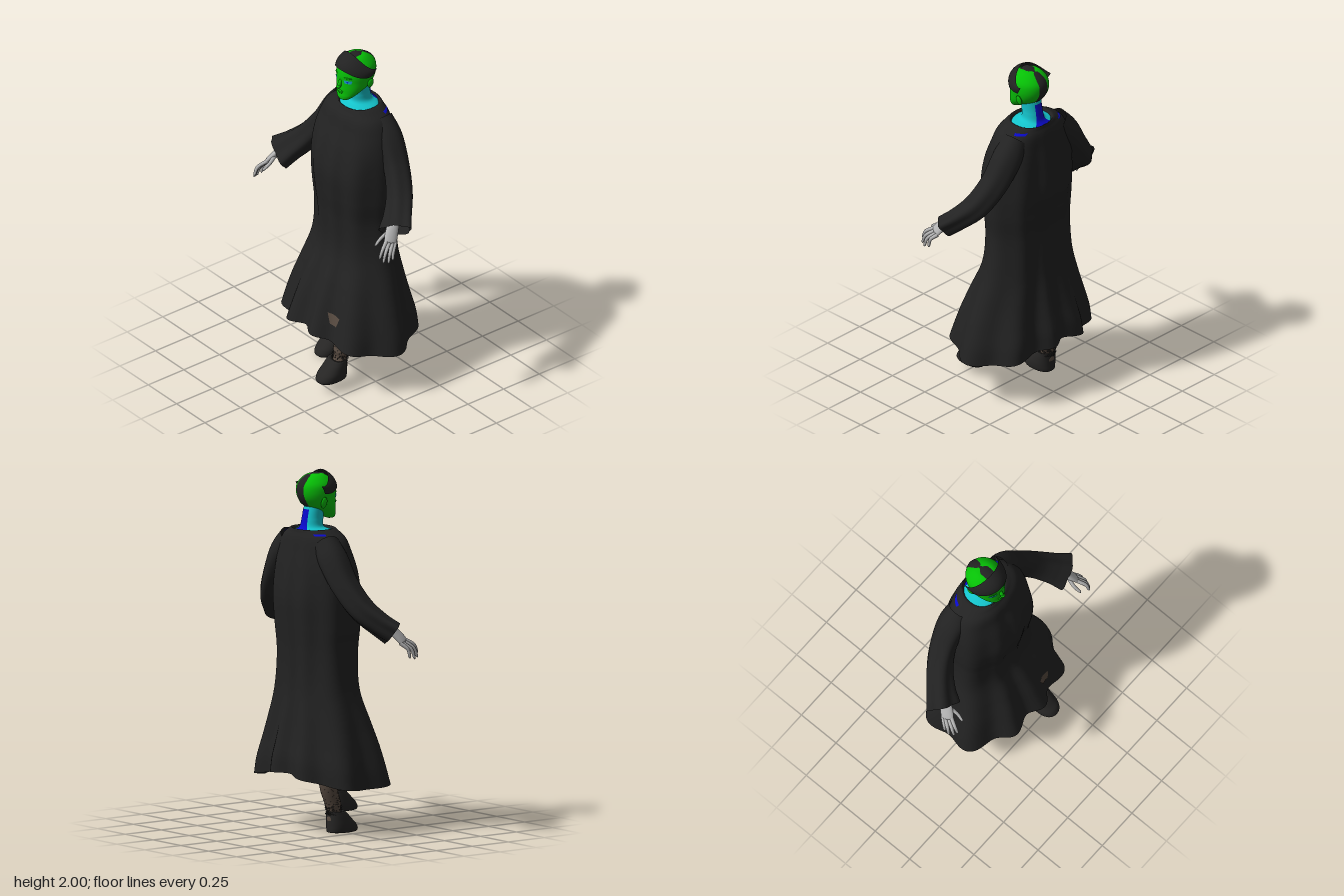
import * as THREE from 'three';
import { ParametricGeometry } from 'three/addons/geometries/ParametricGeometry.js';
import { mergeGeometries } from 'three/addons/utils/BufferGeometryUtils.js';

const V = (x, y, z) => new THREE.Vector3(x, y, z);

// Surface through horizontal rows [y, centreX, radiusX, centreZ, radiusZ]; angle a = 0 faces +z
function loft(rows, { power = 2, warp } = {}) {
  const cx = new THREE.CatmullRomCurve3(rows.map(r => V(r[0], r[1], r[2])));
  const cz = new THREE.CatmullRomCurve3(rows.map(r => V(r[0], r[3], r[4])));
  const bend = n => Math.sign(n) * Math.abs(n) ** (2 / power);
  const p = V(), q = V();
  return (a, t, target, offset = 0) => {
    t = Math.min(1, Math.max(0, t));
    cx.getPoint(t, p);
    cz.getPoint(t, q);
    const bx = bend(Math.sin(a)), bz = bend(Math.cos(a));
    const rx = Math.max(p.z, 0.002), rz = Math.max(q.z, 0.002);
    const w = warp ? warp(Math.atan2(bx * rx, bz * rz), p.x) : { out: 0, up: 0 };
    const grow = w.out + offset;
    target.set(p.y + bx * (rx + grow), p.x + w.up, q.y + bz * (rz + grow));
  };
}

const shell = (f, slices, stacks) =>
  new ParametricGeometry((u, v, p) => f(u * Math.PI * 2, v, p), slices, stacks);

// Thin painted piece lying on a lofted surface; taper scales its lower end
const patch = (f, a, halfA, t0, t1, taper = 1, lift = 0.004) =>
  new ParametricGeometry((u, v, p) =>
    f(a + (u * 2 - 1) * halfA * (taper + (1 - taper) * v), t0 + (t1 - t0) * v, p, lift), 10, 6);

// Elliptical tube along points; radii are [along ref, across]
function sweep(points, radii, ref, slices = 16, stacks = 20, fold = 0) {
  const path = new THREE.CatmullRomCurve3(points);
  const size = new THREE.CatmullRomCurve3(radii.map(r => V(r[0], r[1], 0)));
  return new ParametricGeometry((u, v, p) => {
    const a = u * Math.PI * 2, c = path.getPoint(v), T = path.getTangent(v), s = size.getPoint(v);
    const N = ref.clone().addScaledVector(T, -ref.dot(T)).normalize();
    const B = T.clone().cross(N);
    const wave = fold * v * Math.cos(a * 5);
    p.copy(c).addScaledVector(N, Math.cos(a) * (s.x + wave)).addScaledVector(B, Math.sin(a) * (s.y + wave));
  }, slices, stacks);
}

// Ribbon along a path in the middle plane, drooping at its edges
function ribbon(points, half) {
  const path = new THREE.CatmullRomCurve3(points);
  return new ParametricGeometry((u, v, p) => {
    const x = (u * 2 - 1) * half, T = path.getTangent(v);
    p.copy(path.getPoint(v)).addScaledVector(V(0, -T.z, T.y), -x * x * 7.5);
    p.x = x;
  }, 8, 30);
}

export function createModel() {
  const model = new THREE.Group();
  const mat = (name, color, side = THREE.FrontSide) => {
    const m = new THREE.MeshStandardMaterial({ color, side });
    m.name = name;
    return m;
  };
  const cloth = mat('black cloth', 0x222222, THREE.DoubleSide);
  const green = mat('green skin', 0x06c006);
  const cyan = mat('cyan skin', 0x14c4cc);
  const blue = mat('blue lining', 0x0a0ac8, THREE.DoubleSide);
  const eyeBlue = mat('eye blue', 0x18a4d0, THREE.DoubleSide);
  const grey = mat('grey hands', 0xb4b4b4);
  const brown = mat('brown fur', 0x574a40, THREE.DoubleSide);
  const leather = mat('dark leather', 0x262524);
  const add = (name, geometry, material, parent = model) => {
    const mesh = new THREE.Mesh(geometry, material);
    mesh.name = name;
    parent.add(mesh);
    return mesh;
  };
  const ball = (name, material, pos, scale, parent) => {
    const m = add(name, new THREE.SphereGeometry(1, 20, 14), material, parent);
    m.position.set(...pos);
    m.scale.set(...scale);
    return m;
  };

  // Robe: folds deepen towards a hem that dips at the sides
  const robeRows = [
    [0.26, 0.01, 0.415, -0.005, 0.295], [0.36, 0.01, 0.4, -0.015, 0.278], [0.48, 0.01, 0.37, -0.02, 0.25],
    [0.6, 0.01, 0.335, -0.03, 0.22], [0.8, 0.008, 0.283, -0.05, 0.175], [1.0, 0.003, 0.262, -0.05, 0.175],
    [1.15, 0.005, 0.272, -0.047, 0.19], [1.3, 0.005, 0.274, -0.048, 0.2], [1.45, 0.005, 0.268, -0.055, 0.18],
    [1.56, 0.005, 0.245, -0.065, 0.152], [1.63, 0.005, 0.21, -0.07, 0.135], [1.66, 0.005, 0.168, -0.075, 0.12],
    [1.68, 0.005, 0.118, -0.08, 0.108], [1.658, 0.005, 0.105, -0.08, 0.094]];
  const robe = loft(robeRows, {
    power: 2.25,
    warp: (a, y) => {
      const low = THREE.MathUtils.clamp((0.75 - y) / 0.49, 0, 1);
      const chest = THREE.MathUtils.clamp((1.66 - y) / 0.3, 0, 1);
      return {
        out: Math.cos(9 * (a - 0.19)) * (0.006 * chest + 0.018 * low),
        up: 0.075 * Math.cos(a) ** 2 * low,
      };
    },
  });
  add('robe', shell(robe, 144, 78), cloth);
  const row = robeRows.length - 1;
  add('kneeTear', patch(robe, 0.365, 0.115, 1.05 / row, 1.6 / row, 0.5), brown);
  for (const s of [1, -1])
    add('shoulderLining', patch(robe, s * 2.15, 0.28, 10.7 / row, 11.1 / row, 0.8, 0.006), blue);

  // Head
  const head = new THREE.Group();
  head.name = 'head';
  model.add(head);
  const skullRows = [[1.721, 0.002, 0.032, 0.026], [1.73, 0.036, 0.051, 0], [1.75, 0.058, 0.056, -0.04],
    [1.775, 0.075, 0.053, -0.08], [1.8, 0.088, 0.052, -0.128], [1.84, 0.098, 0.049, -0.163],
    [1.88, 0.103, 0.05, -0.176], [1.92, 0.098, 0.042, -0.173], [1.95, 0.078, 0.02, -0.152],
    [1.975, 0.048, -0.018, -0.114], [1.984, 0.002, -0.062, -0.066]]
    .map(([y, rx, zf, zb]) => [y, 0, rx, (zf + zb) / 2, (zf - zb) / 2]);
  const skull = loft(skullRows);
  add('skull', shell(skull, 48, 50), green, head);
  const nose = ball('nose', green, [0, 1.828, 0.052], [0.011, 0.03, 0.014], head);
  nose.rotation.x = -0.35;
  ball('noseTip', green, [0, 1.813, 0.063], [0.014, 0.009, 0.012], head);
  ball('upperLip', green, [0, 1.784, 0.051], [0.024, 0.005, 0.009], head);
  ball('lowerLip', green, [0, 1.775, 0.05], [0.02, 0.006, 0.009], head);
  for (const s of [1, -1]) {
    const ear = ball('ear', green, [s * 0.1, 1.828, -0.083], [0.01, 0.033, 0.02], head);
    ear.rotation.z = -s * 0.25;
    add('eye', patch(skull, s * 0.52, 0.25, 0.505, 0.556, 0.75, 0.003), eyeBlue, head);
    add('pupil', patch(skull, s * 0.5, 0.05, 0.522, 0.541, 1, 0.005), blue, head);
    const brow = ball('brow', green, [s * 0.045, 1.876, 0.032], [0.026, 0.005, 0.01], head);
    brow.rotation.y = s * 0.45;
  }

  // Head covering: peaked front band and a strip down the back
  add('headBand', new ParametricGeometry((u, v, p) => {
    const a = (u * 2 - 1) * 1.75, s = Math.sin(a), c = Math.cos(a), bulge = 0.05 * v * (1 - v);
    p.set(s * (0.115 + 0.003 * v + bulge * 0.4),
      THREE.MathUtils.lerp(1.922 - 0.045 * s * s, 1.922 + 0.076 * c * c, v) + bulge * 0.4,
      THREE.MathUtils.lerp(-0.065 + 0.12 * c, -0.1 + 0.08 * c, v) + bulge * c);
  }, 40, 8), cloth, head);
  const crown = [V(0, 1.983, -0.02), V(0, 1.988, -0.064)];
  for (let t = 0.95; t > 0.32; t -= 0.05) {
    const p = V();
    skull(Math.PI, t, p, 0.003);
    crown.push(p.setX(0));
  }
  add('crownStrip', ribbon(crown, 0.03), cloth, head);

  // Neck spreading into the collar
  const neck = loft([[1.64, 0, 0.15, -0.08, 0.115], [1.666, 0, 0.115, -0.082, 0.1], [1.688, 0, 0.064, -0.09, 0.066],
    [1.73, 0, 0.055, -0.085, 0.06], [1.8, 0, 0.058, -0.075, 0.055]]);
  add('neck', shell(neck, 36, 20), cyan);
  add('napeStrip', patch(neck, Math.PI, 0.45, 0.2, 0.95, 1.2), blue);

  // Sleeves and hands
  for (const s of [1, -1]) {
    const M = (x, y, z) => V(s * x, y, z);
    const arm = new THREE.Group();
    arm.name = s > 0 ? 'leftArm' : 'rightArm';
    model.add(arm);
    add('sleeve', sweep([M(0.145, 1.602, -0.105), M(0.22, 1.522, -0.112), M(0.31, 1.39, -0.1), M(0.4, 1.265, -0.052),
      M(0.467, 1.188, 0.015), M(0.514, 1.136, 0.073)],
    [[0.084, 0.072], [0.08, 0.083], [0.07, 0.077], [0.074, 0.071], [0.085, 0.061], [0.104, 0.057]],
    M(0.78, 0.49, -0.39), 40, 36, 0.007), cloth, arm);
    const spread = M(0.4, -0.25, -0.85);
    add('palm', sweep([M(0.46, 1.22, 0.005), M(0.488, 1.178, 0.055), M(0.513, 1.137, 0.095), M(0.537, 1.095, 0.125),
      M(0.546, 1.075, 0.135)],
    [[0.028, 0.024], [0.029, 0.023], [0.037, 0.02], [0.037, 0.016], [0.002, 0.002]], spread), grey, arm);
    const fingers = [
      [[0.528, 1.1, 0.147], [0.553, 1.022, 0.215]], [[0.538, 1.09, 0.136], [0.57, 1.0, 0.202]],
      [[0.546, 1.085, 0.118], [0.582, 0.993, 0.175]], [[0.548, 1.085, 0.1], [0.58, 1.0, 0.143]],
      [[0.502, 1.143, 0.1], [0.497, 1.075, 0.203]]];
    fingers.forEach(([b, t], i) => {
      const base = M(...b), tip = M(...t);
      const joint = base.clone().lerp(tip, 0.5).add(i < 4 ? M(0.01, 0.008, 0.012) : M(-0.008, -0.004, 0.006));
      add(i < 4 ? 'finger' : 'thumb', sweep([base, joint, joint.clone().lerp(tip, 0.8), tip],
        [[0.0115, 0.0115], [0.01, 0.01], [0.0075, 0.0075], [0.0015, 0.0015]], spread, 10, 14), grey, arm);
    });
  }

  // Furry legs and shoes, the left one stepping forward
  let seed = 7;
  const rand = () => (seed = (seed * 16807) % 2147483647) / 2147483647;
  const legs = [
    ['leftLeg', 0.15, 0.06, 0.14, [[0.15, 0.13, 0.175], [0.15, 0.21, 0.165], [0.15, 0.3, 0.14], [0.15, 0.45, 0.13], [0.12, 0.9, -0.03]]],
    ['rightLeg', -0.15, 0, -0.09, [[-0.15, 0.07, -0.05], [-0.15, 0.15, -0.058], [-0.15, 0.26, -0.093], [-0.15, 0.45, -0.1], [-0.12, 0.9, -0.05]]]];
  for (const [name, x, y, z, points] of legs) {
    const leg = new THREE.Group();
    leg.name = name;
    model.add(leg);
    const pts = points.map(p => V(...p));
    add('shin', sweep(pts, [[0.047, 0.042], [0.047, 0.042], [0.051, 0.047], [0.056, 0.055], [0.065, 0.06]],
      V(1, 0, 0), 20, 30), brown, leg);
    // Dark tufts, thickest just above the shoe
    const path = new THREE.CatmullRomCurve3(pts), tufts = [];
    for (let i = 0; i < 240; i++) {
      const c = path.getPoint(0.1 + 0.42 * rand() ** 1.8), a = rand() * Math.PI * 2;
      const cone = new THREE.ConeGeometry(0.003, 0.01, 4);
      cone.rotateX(Math.PI / 2 + 0.5).rotateY(a);
      tufts.push(cone.translate(c.x + Math.sin(a) * 0.048, c.y, c.z + Math.cos(a) * 0.045));
    }
    add('furTufts', mergeGeometries(tufts), leather, leg);
    const shoe = loft([[0, 0, 0.002, 0.09, 0.002], [0, 0, 0.056, 0.09, 0.087], [0.012, 0, 0.063, 0.093, 0.093],
      [0.04, 0, 0.066, 0.087, 0.087], [0.07, 0, 0.063, 0.072, 0.072], [0.1, 0, 0.058, 0.057, 0.057],
      [0.118, 0, 0.052, 0.047, 0.047], [0.11, 0, 0.035, 0.045, 0.03]], { power: 2.3 });
    add('shoe', shell(shoe, 36, 35), leather, leg).position.set(x, y, z);
  }
  return model;
}
